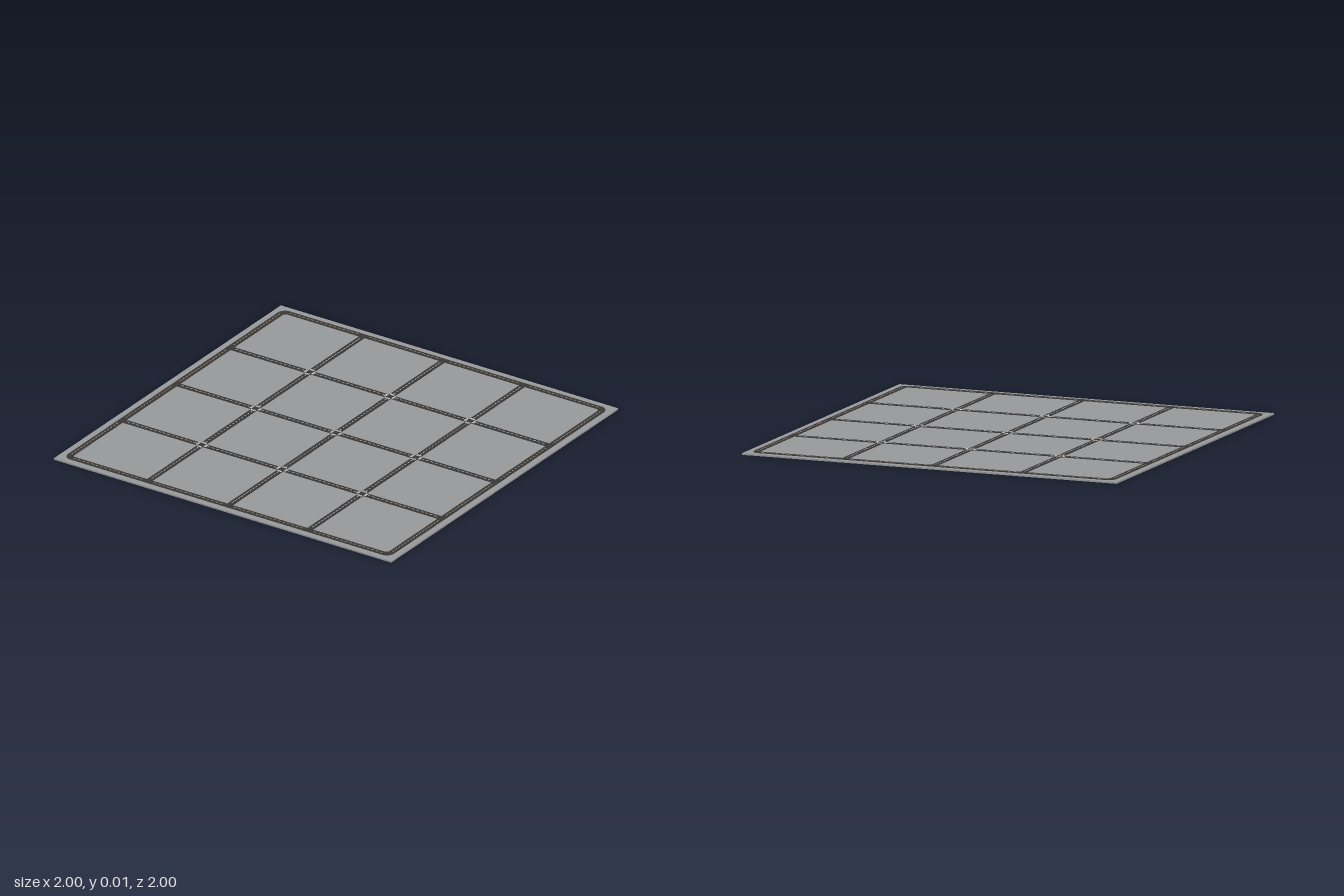
import * as THREE from 'three';
import { mergeGeometries } from 'three/addons/utils/BufferGeometryUtils.js';

const PITCH = 0.475;          // spacing of the streets
const HALF = 2 * PITCH;       // centre line of the outer ring road
const W = 0.032;              // road width
const SLAB_BOTTOM = 0.001, SLAB_TOP = 0.009, ROAD_TOP = 0.0115, PAINT_TOP = 0.0121;

const paint = (color) => new THREE.MeshStandardMaterial({ color });

// Box given by its centre, plan size and height range
function slab(x, z, sx, sz, y0, y1) {
  return new THREE.BoxGeometry(sx, y1 - y0, sz).translate(x, (y0 + y1) / 2, z);
}

// Box on a street: "along" runs down the street, "across" is its offset
function streetBox(alongX, along, across, length, width, y0, y1) {
  return alongX
    ? slab(along, across, length, width, y0, y1)
    : slab(across, along, width, length, y0, y1);
}

function roundedSquare(path, h, r) {
  path.moveTo(-h + r, -h);
  path.lineTo(h - r, -h);
  path.absarc(h - r, -h + r, r, -Math.PI / 2, 0);
  path.absarc(h - r, h - r, r, 0, Math.PI / 2);
  path.absarc(-h + r, h - r, r, Math.PI / 2, Math.PI);
  path.absarc(-h + r, -h + r, r, Math.PI, Math.PI * 1.5);
  return path;
}

export function createModel() {
  const group = new THREE.Group();
  const add = (name, geometry, material) => {
    const mesh = new THREE.Mesh(geometry, material);
    mesh.name = name;
    group.add(mesh);
  };
  const asphalt = paint(0x3a3735);

  // Ground plate
  add('groundPlate', slab(0, 0, 2, 2, SLAB_BOTTOM, SLAB_TOP), paint(0x98999b));

  // Ring road with rounded corners
  const ring = roundedSquare(new THREE.Shape(), HALF + W / 2, 0.042);
  ring.holes.push(roundedSquare(new THREE.Path(), HALF - W / 2, 0.02));
  const ringGeometry = new THREE.ExtrudeGeometry(ring, {
    depth: ROAD_TOP - SLAB_TOP + 0.001, bevelEnabled: false, curveSegments: 8,
  });
  ringGeometry.rotateX(-Math.PI / 2).translate(0, SLAB_TOP - 0.001, 0);
  add('ringRoad', ringGeometry, asphalt);

  const streets = [], undersides = [], centreDashes = [], ringDashes = [], crossings = [];
  for (const alongX of [true, false]) {
    for (let i = -2; i <= 2; i++) {
      const across = i * PITCH;
      const isRing = Math.abs(i) === 2;
      for (let j = 0; j < 4; j++) {
        const mid = (j - 1.5) * PITCH;
        // Inner street surface; the z streets also fill the junctions
        if (!isRing) {
          const edge = j === 0 || j === 3;
          const length = alongX || edge ? PITCH - W : PITCH;
          streets.push(streetBox(alongX, mid, across, length, W, SLAB_TOP - 0.001, ROAD_TOP));
          if (!alongX && edge) {
            streets.push(streetBox(false, Math.sign(mid) * (PITCH + W / 4), across,
              W / 2, W, SLAB_TOP - 0.001, ROAD_TOP));
          }
        }
        // Straight road bed showing under the plate
        undersides.push(streetBox(alongX, mid, across, 0.39, W, 0, SLAB_BOTTOM + 0.001));
        // Dashed centre line
        for (let k = 0; k < 16; k++) {
          const at = mid + (k - 7.5) * 0.0262;
          (isRing ? ringDashes : centreDashes).push(
            streetBox(alongX, at, across, 0.015, 0.0035, ROAD_TOP - 0.0005, PAINT_TOP));
        }
      }
      // Zebra stripes on both sides of each inner junction
      if (isRing) continue;
      for (let j = -1; j <= 1; j++) {
        for (const side of [-1, 1]) {
          for (let k = 0; k < 4; k++) {
            crossings.push(streetBox(alongX, j * PITCH + side * 0.023, across + (k - 1.5) * 0.007,
              0.013, 0.005, ROAD_TOP - 0.0005, PAINT_TOP));
          }
        }
      }
    }
  }

  add('innerStreets', mergeGeometries(streets), asphalt);
  add('roadUndersides', mergeGeometries(undersides), asphalt);
  add('streetDashes', mergeGeometries(centreDashes), paint(0xc8c8c4));
  add('ringRoadDashes', mergeGeometries(ringDashes), paint(0xb5a58a));
  add('pedestrianCrossings', mergeGeometries(crossings), paint(0xd4d4d0));
  return group;
}
